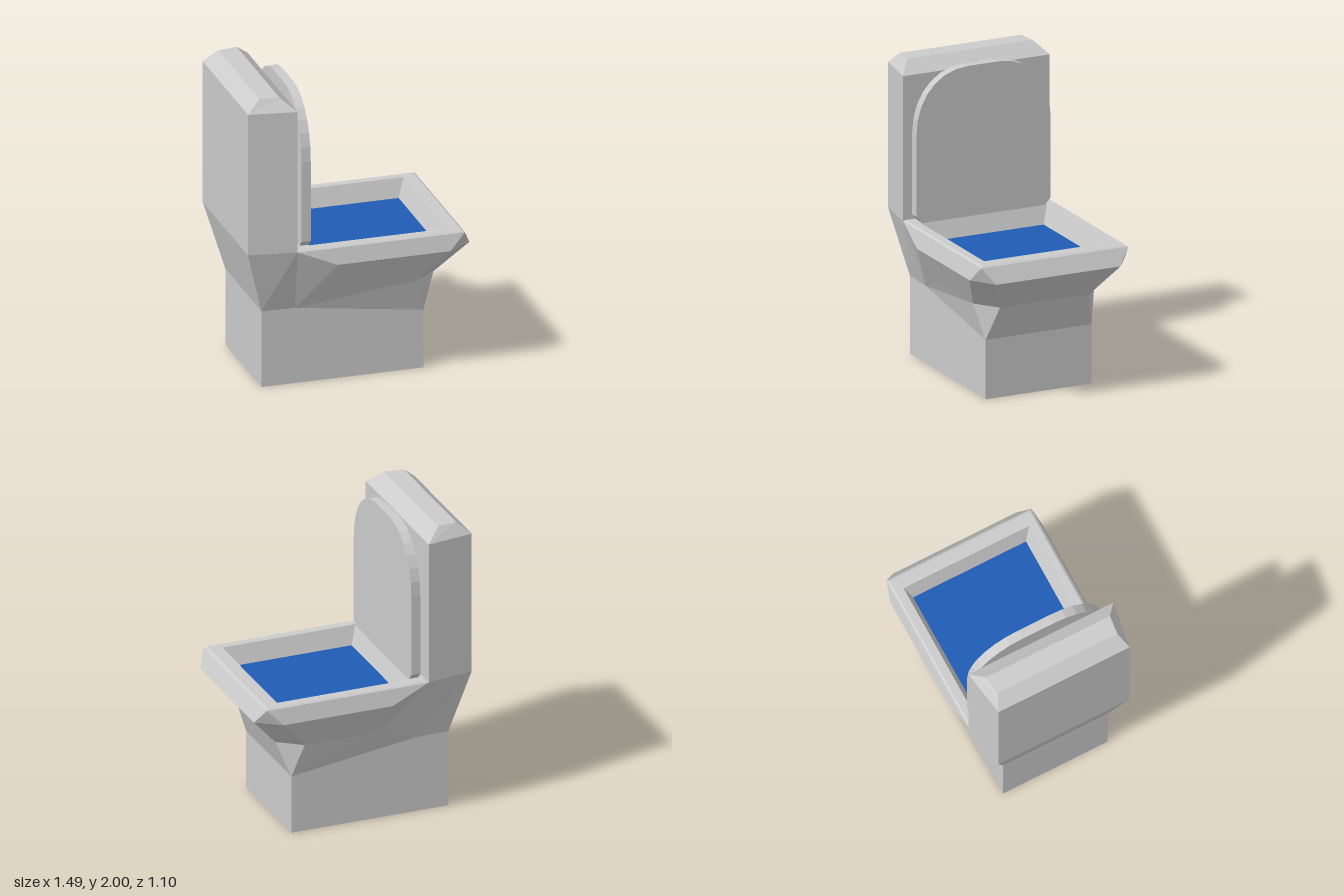
import * as THREE from 'three';

// Flat-sided surface from polygons, each fanned into triangles
function facets(polygons) {
  const positions = [];
  for (const p of polygons)
    for (let i = 1; i < p.length - 1; i++) positions.push(...p[0], ...p[i], ...p[i + 1]);
  const geometry = new THREE.BufferGeometry();
  geometry.setAttribute('position', new THREE.Float32BufferAttribute(positions, 3));
  geometry.computeVertexNormals();
  return geometry;
}

const flip = ([x, y, z]) => [x, y, -z];
// A side polygon and its mirror image
const bothSides = (p) => [p, p.map(flip).reverse()];
// Faces spanning the width between successive points of a half outline
const across = (outline) =>
  outline.slice(1).map((b, i) => [outline[i], flip(outline[i]), flip(b), b]);

export function createModel() {
  const group = new THREE.Group();
  const grey = new THREE.MeshStandardMaterial({ color: 0xcccccc, flatShading: true });
  const blue = new THREE.MeshStandardMaterial({ color: 0x205cb4, flatShading: true });
  const add = (name, geometry, material = grey) => {
    const mesh = new THREE.Mesh(geometry, material);
    mesh.name = name;
    group.add(mesh);
    return mesh;
  };

  // Pedestal corners
  const footBack = [-0.625, 0, 0.375], footFront = [0.455, 0, 0.375];
  const baseFront = [0.455, 0.395, 0.375], baseMid = [-0.4, 0.515, 0.375], baseBack = [-0.625, 0.52, 0.375];
  // Bowl corners
  const waistFront = [0.54, 0.625, 0.315], waistSide = [0.385, 0.625, 0.43], waistBack = [-0.13, 0.625, 0.43];
  const lipFront = [0.74, 0.85, 0.44], lipSide = [0.58, 0.85, 0.55], lipBack = [-0.17, 0.85, 0.55];
  const rimFront = [0.685, 0.955, 0.52], rimBack = [-0.43, 0.955, 0.52];
  const seatFront = [0.67, 0.965, 0.505], seatBack = [-0.42, 0.965, 0.505];
  const holeFront = [0.585, 0.965, 0.45], holeBack = [-0.33, 0.965, 0.45];
  const waterFront = [0.54, 0.845, 0.405], waterBack = [-0.285, 0.845, 0.405];
  // Tank corners
  const tankBack = [-0.745, 0.955, 0.47], tankTopBack = [-0.745, 1.92, 0.47], tankTopFront = [-0.43, 1.92, 0.52];
  const crownFront = [-0.525, 2, 0.445], crownBack = [-0.655, 2, 0.43];

  add('pedestal', facets([
    ...across([baseBack, footBack, footFront, baseFront]),
    ...bothSides([footBack, footFront, baseFront, baseMid, baseBack]),
  ]));

  add('bowl', facets([
    ...across([baseFront, waistFront, lipFront, rimFront]),
    ...bothSides([baseFront, waistFront, waistSide]),
    ...bothSides([waistFront, lipFront, lipSide, waistSide]),
    ...bothSides([lipFront, rimFront, lipSide]),
    ...bothSides([baseMid, baseFront, waistSide, waistBack]),
    ...bothSides([waistBack, waistSide, lipSide, lipBack]),
    ...bothSides([baseMid, waistBack, lipBack, rimBack]),
    ...bothSides([lipBack, lipSide, rimFront, rimBack]),
  ]));

  // Rim with its bevelled edge and the inner walls down to the water
  add('rim', facets([
    ...across([rimFront, seatFront, holeFront, waterFront]),
    ...across([waterBack, holeBack, seatBack, rimBack]),
    ...bothSides([rimBack, rimFront, seatFront, seatBack]),
    ...bothSides([seatBack, seatFront, holeFront, holeBack]),
    ...bothSides([holeBack, holeFront, waterFront, waterBack]),
  ]));
  add('water', facets(across([waterFront, waterBack])), blue);

  add('tank', facets([
    ...across([rimBack, tankTopFront, crownFront, crownBack, tankTopBack, tankBack, baseBack]),
    ...bothSides([baseBack, baseMid, rimBack, tankBack]),
    ...bothSides([tankBack, rimBack, tankTopFront, tankTopBack]),
    ...bothSides([tankTopBack, tankTopFront, crownFront, crownBack]),
  ]));

  // Raised lid with a rounded top
  const shape = new THREE.Shape();
  shape.moveTo(-0.435, 0.96);
  shape.lineTo(0.435, 0.96);
  shape.lineTo(0.475, 1.005);
  shape.lineTo(0.475, 1.55);
  shape.bezierCurveTo(0.475, 1.78, 0.33, 1.96, 0.11, 1.96);
  shape.lineTo(-0.11, 1.96);
  shape.bezierCurveTo(-0.33, 1.96, -0.475, 1.78, -0.475, 1.55);
  shape.lineTo(-0.475, 1.005);
  shape.closePath();
  const lid = add('lid', new THREE.ExtrudeGeometry(shape, { depth: 0.062, bevelEnabled: false, curveSegments: 7 }));
  lid.rotation.y = -Math.PI / 2;
  lid.position.x = -0.328;

  return group;
}
